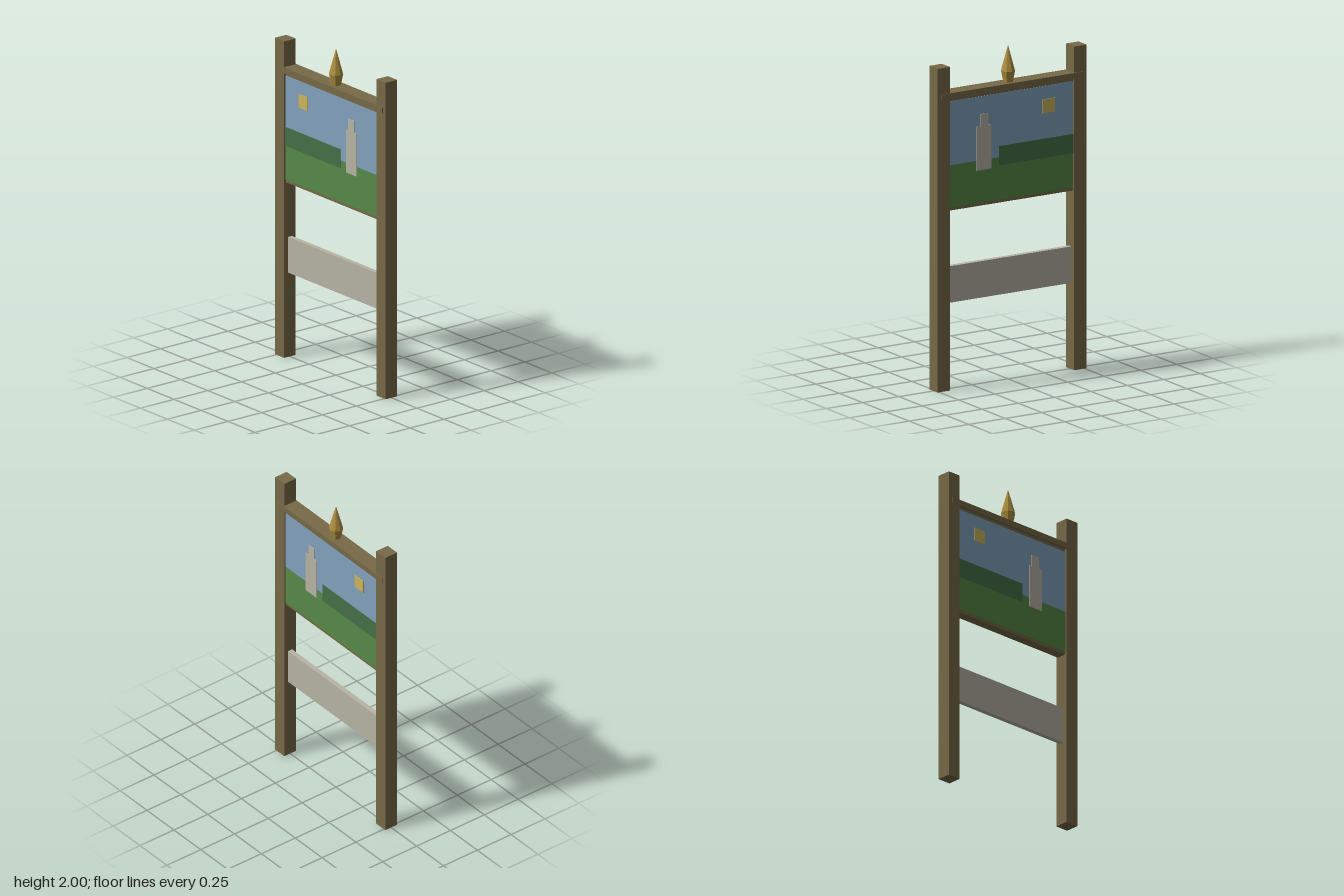
import * as THREE from 'three';

const material = (name, color) => {
  const m = new THREE.MeshStandardMaterial({ color });
  m.name = name;
  return m;
};

export function createModel() {
  const group = new THREE.Group();
  const wood = material('wood', 0x786a48);
  const sky = material('sky blue', 0x82a2be);
  const grass = material('grass green', 0x568a48);
  const hedge = material('hedge green', 0x467048);
  const stone = material('pale stone', 0xb8b4a6);
  const yellow = material('sun yellow', 0xccb65c);
  const gold = material('gold', 0xae9040);
  gold.flatShading = true;

  // Box given by its x range, y range and z range
  const box = (name, mat, x0, x1, y0, y1, z0, z1) => {
    const mesh = new THREE.Mesh(new THREE.BoxGeometry(x1 - x0, y1 - y0, z1 - z0), mat);
    mesh.position.set((x0 + x1) / 2, (y0 + y1) / 2, (z0 + z1) / 2);
    mesh.name = name;
    group.add(mesh);
  };

  // Posts
  box('leftPost', wood, 0.427, 0.513, 0, 1.937, -0.043, 0.043);
  box('rightPost', wood, -0.513, -0.427, 0, 1.937, -0.043, 0.043);

  // Top beam, sign board and lower name plate
  box('topBeam', wood, -0.488, 0.488, 1.744, 1.78, -0.048, 0.048);
  box('signBoard', wood, -0.43, 0.43, 1.073, 1.745, -0.03, 0.03);
  box('lowerPlate', stone, -0.43, 0.43, 0.517, 0.735, -0.015, 0.015);

  // Painted scene on both faces: name, material, x range, y range, outer depth
  const scene = [
    ['sky', sky, -0.427, 0.427, 1.345, 1.727, 0.033],
    ['meadow', grass, -0.427, 0.427, 1.09, 1.345, 0.033],
    ['hedge', hedge, -0.427, 0.083, 1.297, 1.413, 0.035],
    ['sun', yellow, -0.3, -0.217, 1.566, 1.648, 0.037],
    ['towerBody', stone, 0.137, 0.238, 1.287, 1.55, 0.037],
    ['towerTop', stone, 0.157, 0.211, 1.55, 1.621, 0.037],
  ];
  for (const [name, mat, x0, x1, y0, y1, z] of scene) {
    box(name + 'Front', mat, x0, x1, y0, y1, 0.03, z);
    box(name + 'Back', mat, x0, x1, y0, y1, -z, -0.03);
  }

  // Faceted finial
  const profile = [[0, 1.778], [0.029, 1.778], [0.042, 1.846], [0, 2]]
    .map(([r, y]) => new THREE.Vector2(r, y));
  const finial = new THREE.Mesh(new THREE.LatheGeometry(profile, 8), gold);
  finial.name = 'finial';
  group.add(finial);

  return group;
}
